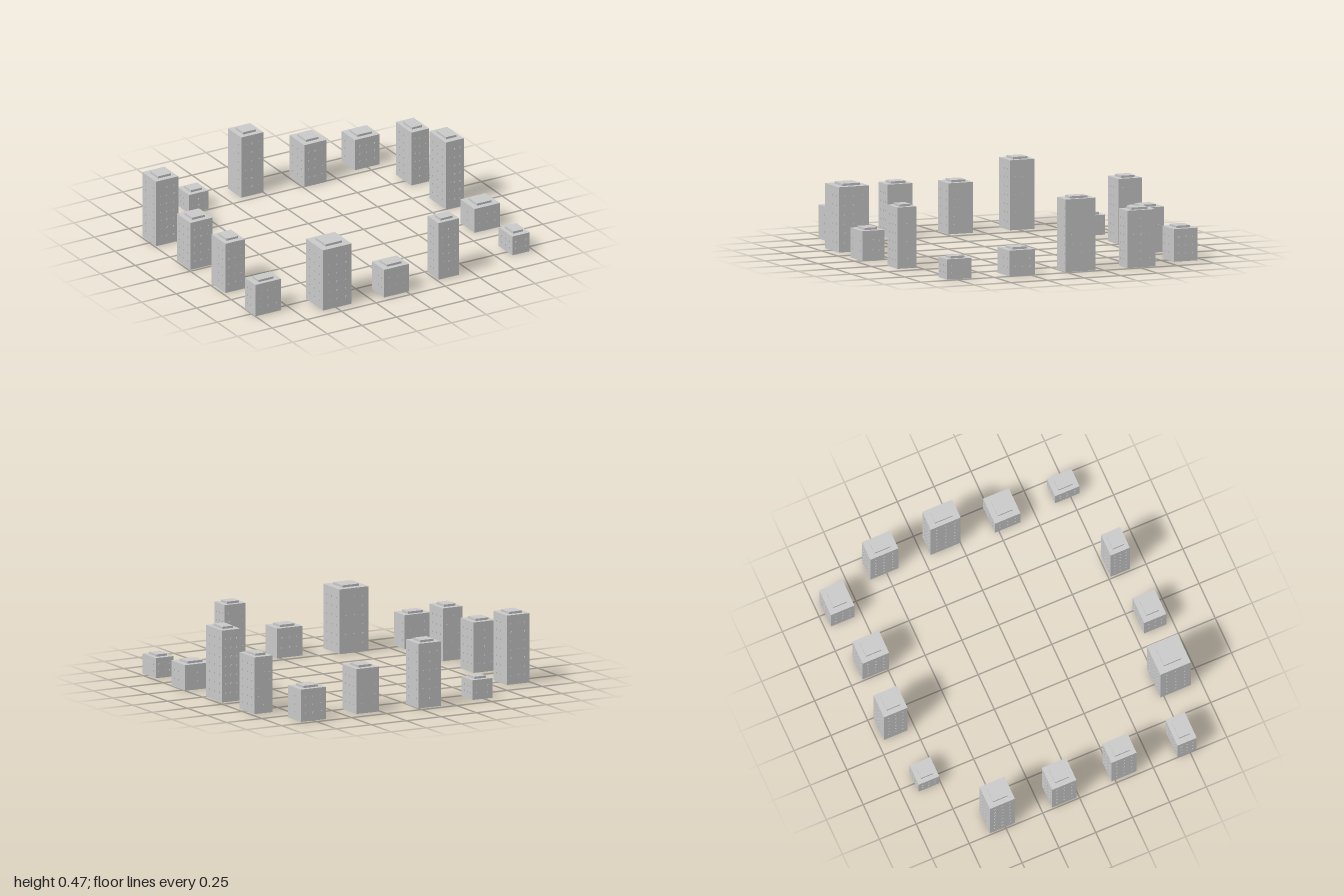
import * as THREE from 'three';
import { mergeGeometries } from 'three/addons/utils/BufferGeometryUtils.js';

// One tower per row: x, z, width, depth, wall height
const TOWERS = [
  // back row
  [-0.49, -0.83, 0.14, 0.14, 0.125],
  [-0.08, -0.88, 0.16, 0.16, 0.41],
  [0.34, -0.83, 0.16, 0.18, 0.285],
  [0.75, -0.88, 0.18, 0.16, 0.205],
  // -x side
  [-0.91, -0.52, 0.16, 0.17, 0.44],
  [-0.91, -0.10, 0.16, 0.165, 0.32],
  [-0.91, 0.31, 0.14, 0.17, 0.335],
  [-0.907, 0.73, 0.186, 0.13, 0.214],
  // front row
  [-0.49, 0.83, 0.207, 0.206, 0.41],
  [-0.075, 0.88, 0.18, 0.15, 0.188],
  [0.337, 0.83, 0.15, 0.13, 0.385],
  // +x side
  [0.909, -0.516, 0.128, 0.19, 0.36],
  [0.909, -0.10, 0.13, 0.203, 0.456],
  [0.909, 0.31, 0.182, 0.174, 0.162],
  [0.909, 0.727, 0.126, 0.166, 0.128],
];

const ROOF_SCALE = 0.58, ROOF_HEIGHT = 0.014;
const FLOOR = 0.055, PANE = 0.01, PROUD = 0.0025;

// Small panes in rows and columns on all four walls, merged into one geometry
function windowGeometry(w, d, h) {
  const panes = [];
  const rows = Math.max(2, Math.round(h / FLOOR) - 1);
  for (let side = 0; side < 4; side++) {
    const wide = side % 2 ? d : w;
    const reach = (side % 2 ? w : d) / 2;
    for (let r = 0; r < rows; r++) {
      for (let c = -1; c <= 1; c++) {
        const pane = new THREE.BoxGeometry(PANE, PANE, PROUD * 2);
        pane.translate(c * wide * 0.3, (h * (r + 1)) / (rows + 1), reach);
        panes.push(pane.rotateY((side * Math.PI) / 2));
      }
    }
  }
  return mergeGeometries(panes);
}

export function createModel() {
  const model = new THREE.Group();
  model.name = 'ringOfTowers';
  const material = new THREE.MeshStandardMaterial({ color: 0xcccccc, flatShading: true });

  const add = (parent, name, geometry, y = 0) => {
    const mesh = new THREE.Mesh(geometry, material);
    mesh.name = name;
    mesh.position.y = y;
    parent.add(mesh);
  };

  TOWERS.forEach(([x, z, w, d, h], i) => {
    const tower = new THREE.Group();
    tower.name = `tower${i + 1}`;
    tower.position.set(x, 0, z);
    add(tower, 'walls', new THREE.BoxGeometry(w, h, d), h / 2);
    // Low plant room on the roof
    add(tower, 'roofBlock',
      new THREE.BoxGeometry(w * ROOF_SCALE, ROOF_HEIGHT, d * ROOF_SCALE), h + ROOF_HEIGHT / 2);
    add(tower, 'windows', windowGeometry(w, d, h));
    model.add(tower);
  });
  return model;
}
